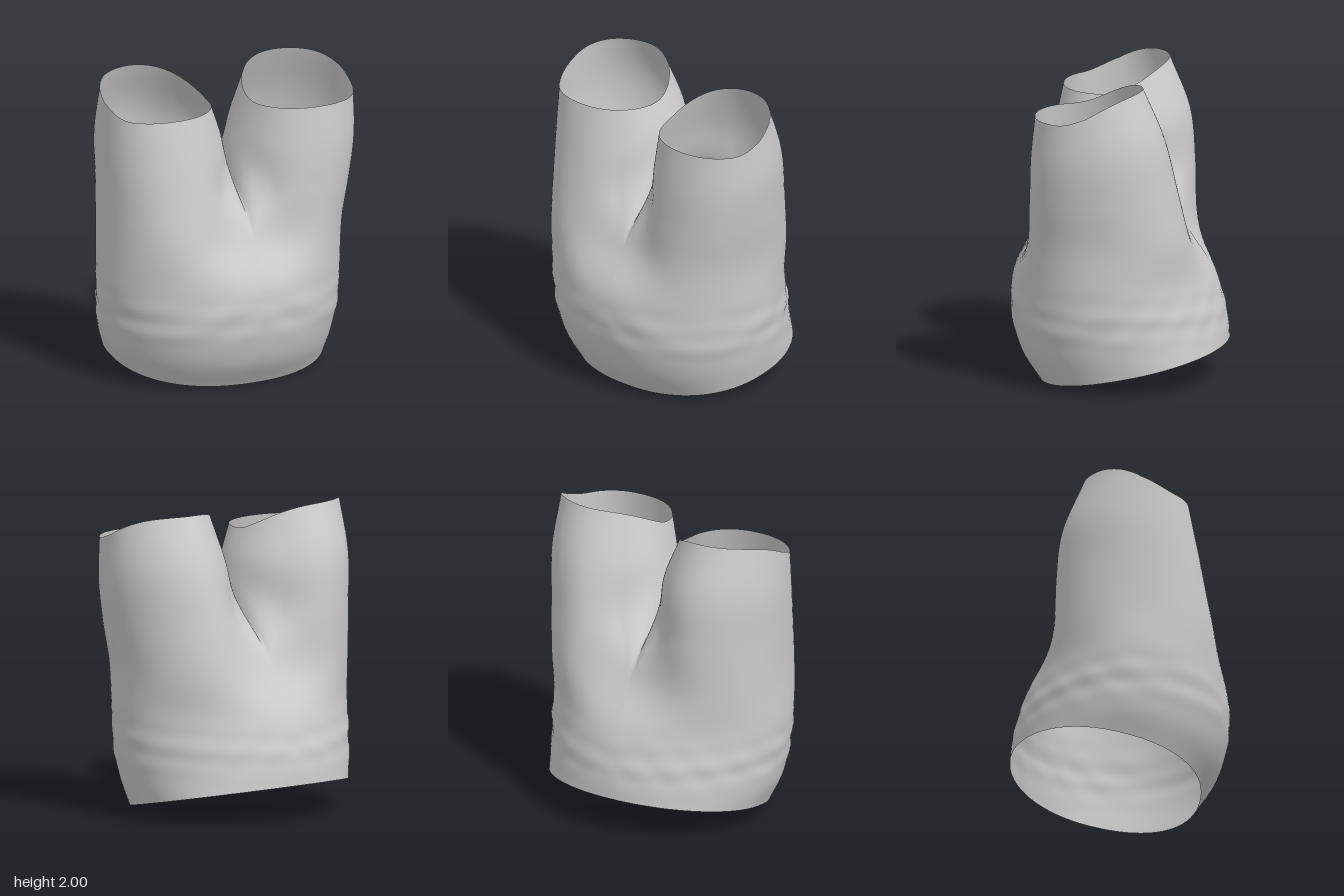
import * as THREE from 'three';
import { mergeVertices } from 'three/addons/utils/BufferGeometryUtils.js';

const OUTER = 56, INNER = 28, ROWS = 8; // columns around each half, rows per section
const END = THREE.MathUtils.degToRad(130); // column angle where the crotch seam begins
const pow = (v, p) => Math.sign(v) * Math.abs(v) ** p;
const { lerp, smoothstep } = THREE.MathUtils;

// Body sections from waist to crotch: half widths (left, right), front z, back z,
// front y, back y, squareness of front and back, dent at the centre line
const body = [
  { left: 0.73, right: 0.74, zf: 0.52, zb: -0.71, yf: 0.0, yb: 0.25, pf: 0.88, pb: 0.98, dent: 0 },
  { left: 0.76, right: 0.805, zf: 0.64, zb: -0.7, yf: 0.18, yb: 0.38, pf: 0.95, pb: 1.05, dent: 0 },
  { left: 0.78, right: 0.835, zf: 0.705, zb: -0.675, yf: 0.42, yb: 0.5, pf: 0.95, pb: 1.06, dent: 0 },
  { left: 0.785, right: 0.85, zf: 0.69, zb: -0.605, yf: 0.7, yb: 0.71, pf: 0.93, pb: 1.02, dent: 0 },
  { left: 0.79, right: 0.84, zf: 0.67, zb: -0.575, yf: 0.98, yb: 0.98, pf: 0.86, pb: 0.92, dent: 0.14 },
];

// Leg sections above the crotch: inner x, outer x, front z, back z
const legs = {
  left: [[0.025, 0.83, 0.56, -0.4], [0.07, 0.86, 0.55, -0.32], [0.12, 0.845, 0.52, -0.18]],
  right: [[0.015, 0.845, 0.515, -0.46], [0.05, 0.855, 0.46, -0.425], [0.12, 0.845, 0.4, -0.29]],
};
const hemTurn = { left: 0.1, right: 0.3 }; // turns the hem peak toward the outside

// Point on one half of a body section; phi runs from back centre to front centre
function bodyPoint(sec, side, phi) {
  const c = Math.max(Math.cos(phi), 0), s = Math.sin(phi);
  const p = s > 0 ? sec.pf : sec.pb, k = pow(s, p);
  const z = lerp(sec.zb, sec.zf, (k + 1) / 2) - sec.dent * pow(s, 11);
  return new THREE.Vector3(sec[side] * c ** p, lerp(sec.yb, sec.yf, (k + 1) / 2), z);
}

// Arched seam between the legs, u from front to back
function seamPoint(u) {
  const front = bodyPoint(body[4], 'left', Math.PI / 2);
  const back = bodyPoint(body[4], 'left', -Math.PI / 2);
  const k = (u + (1 - Math.cos(Math.PI * u)) / 2) / 2;
  return new THREE.Vector3(0, front.y + 0.3 * Math.sin(Math.PI * u), lerp(front.z, back.z, k));
}

// Leg rings, fuller in front than behind, rise from the crotch ring to the slanted hem
function legPoint(side, j, a, startY) {
  const [xi, xo, zf, zb] = legs[side][j];
  const s = Math.sin(a), p = s > 0 ? 0.91 : 1.06;
  const hemY = 1.82 + 0.18 * smoothstep(-Math.sin(a - hemTurn[side]), -0.45, 1.08);
  return new THREE.Vector3(
    lerp(xi, xo, (1 + pow(Math.cos(a), p)) / 2),
    lerp(startY, hemY, (j + 1) / 3),
    lerp(zb, zf, (1 + pow(s, p)) / 2));
}

// Shallow, broken cloth creases in a band near the waist
function crease(p) {
  const band = Math.exp(-(((p.y - 0.5) / 0.15) ** 2));
  const w = Math.sin(p.y * 30 + p.x * 9 + p.z * 7) * Math.sin(p.x * 11 - p.y * 8 + p.z * 9);
  const f = 1 + 0.009 * band * w;
  p.x *= f;
  p.z *= f;
}

// One column of the cloth, from waist (or seam) up to the hem
function column(side, i) {
  const isOuter = i <= OUTER;
  const a = isOuter ? lerp(-END, END, i / OUTER)
    : lerp(END, 2 * Math.PI - END, (i - OUTER) / INNER);
  const knots = isOuter
    ? body.map(sec => bodyPoint(sec, side, a / END * Math.PI / 2))
    : [seamPoint((i - OUTER) / INNER)];
  const startY = knots[knots.length - 1].y;
  for (let j = 0; j < 3; j++) knots.push(legPoint(side, j, a, startY));
  const points = new THREE.CatmullRomCurve3(knots).getPoints((knots.length - 1) * ROWS);
  points.forEach(crease);
  return points;
}

export function createModel() {
  const group = new THREE.Group();
  const positions = [], indices = [];

  for (const [side, sign] of [['left', 1], ['right', -1]]) {
    const total = OUTER + INNER, crotchRow = 4 * ROWS, topRow = 7 * ROWS;
    const starts = [], offsets = [];
    for (let i = 0; i < total; i++) {
      starts.push(positions.length / 3);
      offsets.push(i <= OUTER ? 0 : crotchRow);
      for (const p of column(side, i)) positions.push(sign * p.x, p.y, p.z);
    }
    const id = (i, k) => starts[i] + k - offsets[i];
    for (let i = 0; i < total; i++) {
      const n = (i + 1) % total;
      for (let k = i < OUTER ? 0 : crotchRow; k < topRow; k++) {
        const A = id(i, k), B = id(i, k + 1), C = id(n, k + 1), D = id(n, k);
        if (sign > 0) indices.push(A, B, C, A, C, D);
        else indices.push(A, C, B, A, D, C);
      }
    }
  }

  // Both halves are welded along the centre line and the seam
  let geometry = new THREE.BufferGeometry();
  geometry.setAttribute('position', new THREE.Float32BufferAttribute(positions, 3));
  geometry.setIndex(indices);
  geometry = mergeVertices(geometry, 1e-4);
  geometry.computeVertexNormals();

  const shorts = new THREE.Mesh(geometry,
    new THREE.MeshStandardMaterial({ color: 0xcccccc, side: THREE.DoubleSide }));
  shorts.name = 'upturnedShorts';
  group.add(shorts);
  return group;
}
